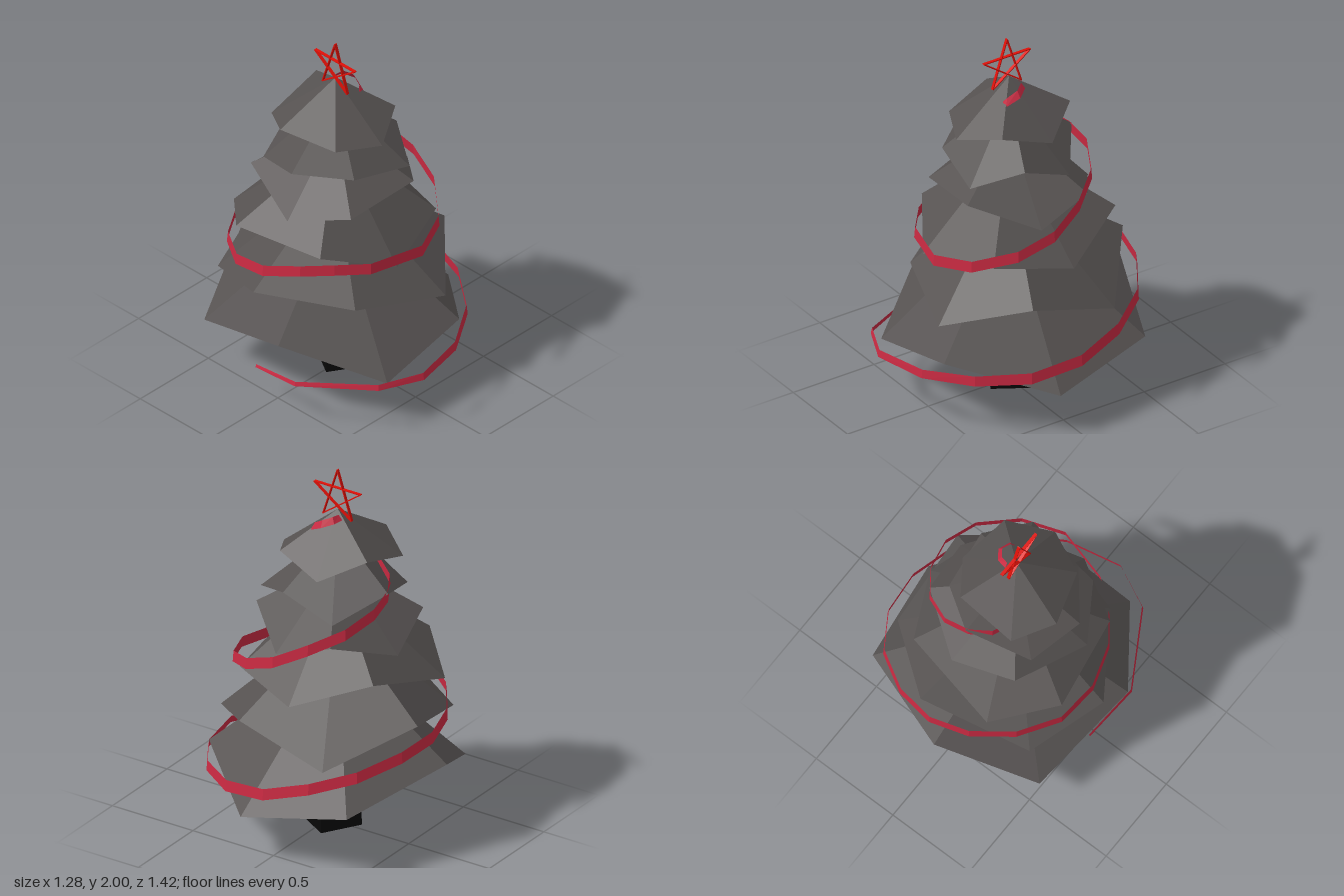
import * as THREE from 'three';

const both = THREE.DoubleSide;
const foliageMat = new THREE.MeshStandardMaterial({ name: 'charcoal foliage', color: 0x565251, side: both, flatShading: true });
const trunkMat = new THREE.MeshStandardMaterial({ name: 'black trunk', color: 0x080808, flatShading: true });
const ribbonMat = new THREE.MeshStandardMaterial({ name: 'crimson ribbon', color: 0xca2a42, side: both, flatShading: true });
const starMat = new THREE.MeshStandardMaterial({ name: 'red star', color: 0xe01008, side: both, flatShading: true });

// Each tier: apex height and its uneven seven-cornered rim, clockwise from the back
const tiers = [
  { apex: 0.96, rim: [[-0.04, 0.50, -0.71], [0.54, 0.36, -0.48], [0.64, 0.25, 0.11], [0.25, 0.40, 0.57], [-0.30, 0.285, 0.59], [-0.64, 0.47, 0.14], [-0.55, 0.28, -0.48]] },
  { apex: 1.17, rim: [[0.11, 0.76, -0.63], [0.51, 0.57, -0.31], [0.52, 0.73, 0.20], [0.17, 0.58, 0.55], [-0.33, 0.66, 0.39], [-0.63, 0.71, -0.05], [-0.47, 0.59, -0.46]] },
  { apex: 1.38, rim: [[-0.26, 0.86, -0.55], [0.28, 1.02, -0.47], [0.48, 0.87, -0.08], [0.335, 0.93, 0.32], [-0.10, 0.855, 0.465], [-0.44, 0.97, 0.245], [-0.53, 0.97, -0.27]] },
  { apex: 1.48, rim: [[0.04, 1.09, -0.46], [0.35, 1.20, -0.25], [0.39, 1.10, 0.06], [0.14, 1.22, 0.35], [-0.28, 1.17, 0.31], [-0.46, 1.11, 0.03], [-0.31, 1.20, -0.38]] },
  { apex: 1.67, rim: [[0.01, 1.41, -0.38], [0.26, 1.28, -0.20], [0.28, 1.40, 0.09], [0.13, 1.31, 0.33], [-0.215, 1.365, 0.27], [-0.42, 1.385, 0.02], [-0.33, 1.305, -0.27]] },
  { apex: 1.78, rim: [[-0.23, 1.51, -0.31], [0.10, 1.61, -0.31], [0.25, 1.50, -0.10], [0.19, 1.58, 0.17], [-0.04, 1.51, 0.30], [-0.27, 1.53, 0.19], [-0.37, 1.575, -0.11]] },
];

// Ribbon centre line, spiralling up from the right-hand side of the trunk
const ribbonPath = [
  [-0.57, 0.195, -0.09], [-0.60, 0.25, 0.22], [-0.375, 0.30, 0.60], [-0.15, 0.31, 0.705], [0.15, 0.315, 0.64], [0.40, 0.34, 0.48],
  [0.575, 0.365, 0.245], [0.635, 0.415, -0.025], [0.595, 0.50, -0.28], [0.46, 0.57, -0.49], [0.245, 0.635, -0.625],
  [0.025, 0.67, -0.665], [-0.19, 0.70, -0.61], [-0.39, 0.73, -0.47], [-0.53, 0.76, -0.27], [-0.56, 0.81, -0.05],
  [-0.50, 0.88, 0.16], [-0.39, 0.90, 0.30], [-0.245, 0.895, 0.42], [0.05, 0.90, 0.50], [0.265, 0.935, 0.41],
  [0.42, 1.01, 0.225], [0.465, 1.09, 0.03], [0.415, 1.19, -0.155], [0.30, 1.275, -0.31], [0.145, 1.35, -0.385],
  [0, 1.39, -0.37], [-0.11, 1.425, -0.31], [-0.19, 1.485, -0.17], [-0.215, 1.56, -0.04], [-0.17, 1.60, 0.06],
  [-0.08, 1.62, 0.09], [0.02, 1.65, 0.085], [0.06, 1.70, 0.055], [0.075, 1.735, -0.01], [0.04, 1.755, -0.06], [-0.01, 1.755, -0.07],
];

function meshFrom(triangles, material, name) {
  const geo = new THREE.BufferGeometry();
  geo.setAttribute('position', new THREE.Float32BufferAttribute(triangles.flat(), 3));
  geo.computeVertexNormals();
  const mesh = new THREE.Mesh(geo, material);
  mesh.name = name;
  return mesh;
}

// Open faceted cone
function makeTier({ apex, rim }, i) {
  const top = [-0.045, apex, -0.03];
  const tris = rim.flatMap((p, k) => [top, rim[(k + 1) % rim.length], p]);
  return meshFrom(tris, foliageMat, 'foliageTier' + (i + 1));
}

// Upright flat band, narrow at both ends, leaning inward near the tip
function makeRibbon() {
  const last = ribbonPath.length - 1;
  const edge = (i, side) => {
    const [x, y, z] = ribbonPath[i];
    const half = Math.min(0.031, 0.008 + 0.004 * i, 0.014 + 0.002 * (last - i));
    const lean = 1 - side * (i > last - 5 ? 0.15 : 0.005);
    return [x * lean, y + side * half, z * lean];
  };
  const tris = [];
  for (let i = 0; i < last; i++) {
    const a = edge(i, -1), b = edge(i + 1, -1), c = edge(i + 1, 1), d = edge(i, 1);
    tris.push(a, b, c, a, c, d);
  }
  return meshFrom(tris, ribbonMat, 'ribbon');
}

// Five crossing bars joining every second point
function makeStar() {
  const star = new THREE.Group();
  star.name = 'star';
  const point = (k) => {
    const a = (k * 4 * Math.PI) / 5;
    return new THREE.Vector3(0, Math.cos(a) * 0.151, Math.sin(a) * 0.151);
  };
  for (let k = 0; k < 5; k++) {
    const p = point(k), q = point(k + 1);
    const bar = new THREE.Mesh(new THREE.BoxGeometry(0.017, 0.005, p.distanceTo(q)), starMat);
    bar.name = 'starBar';
    bar.position.copy(p).add(q).multiplyScalar(0.5);
    bar.rotation.x = -Math.atan2(q.y - p.y, q.z - p.z);
    star.add(bar);
  }
  star.position.set(-0.055, 1.848, -0.022);
  return star;
}

// Four-sided trunk, tapering to the tip with a slight bend
function makeTrunk() {
  const geo = new THREE.CylinderGeometry(1, 1, 1, 4, 4, false, THREE.MathUtils.degToRad(14));
  const pos = geo.attributes.position;
  const heights = [0, 0.4, 0.8, 1.3, 1.72];
  const radii = [0.165, 0.146, 0.112, 0.063, 0.022];
  const bend = [-0.004, 0, -0.01, -0.02, -0.035];
  for (let i = 0; i < pos.count; i++) {
    const level = Math.round((pos.getY(i) + 0.5) * 4);
    pos.setXYZ(i, pos.getX(i) * radii[level] + bend[level], heights[level], pos.getZ(i) * radii[level] - 0.021);
  }
  geo.computeVertexNormals();
  const trunk = new THREE.Mesh(geo, trunkMat);
  trunk.name = 'trunk';
  return trunk;
}

export function createModel() {
  const tree = new THREE.Group();
  tree.name = 'tree';
  tree.add(makeTrunk(), ...tiers.map(makeTier), makeRibbon(), makeStar());
  return tree;
}
